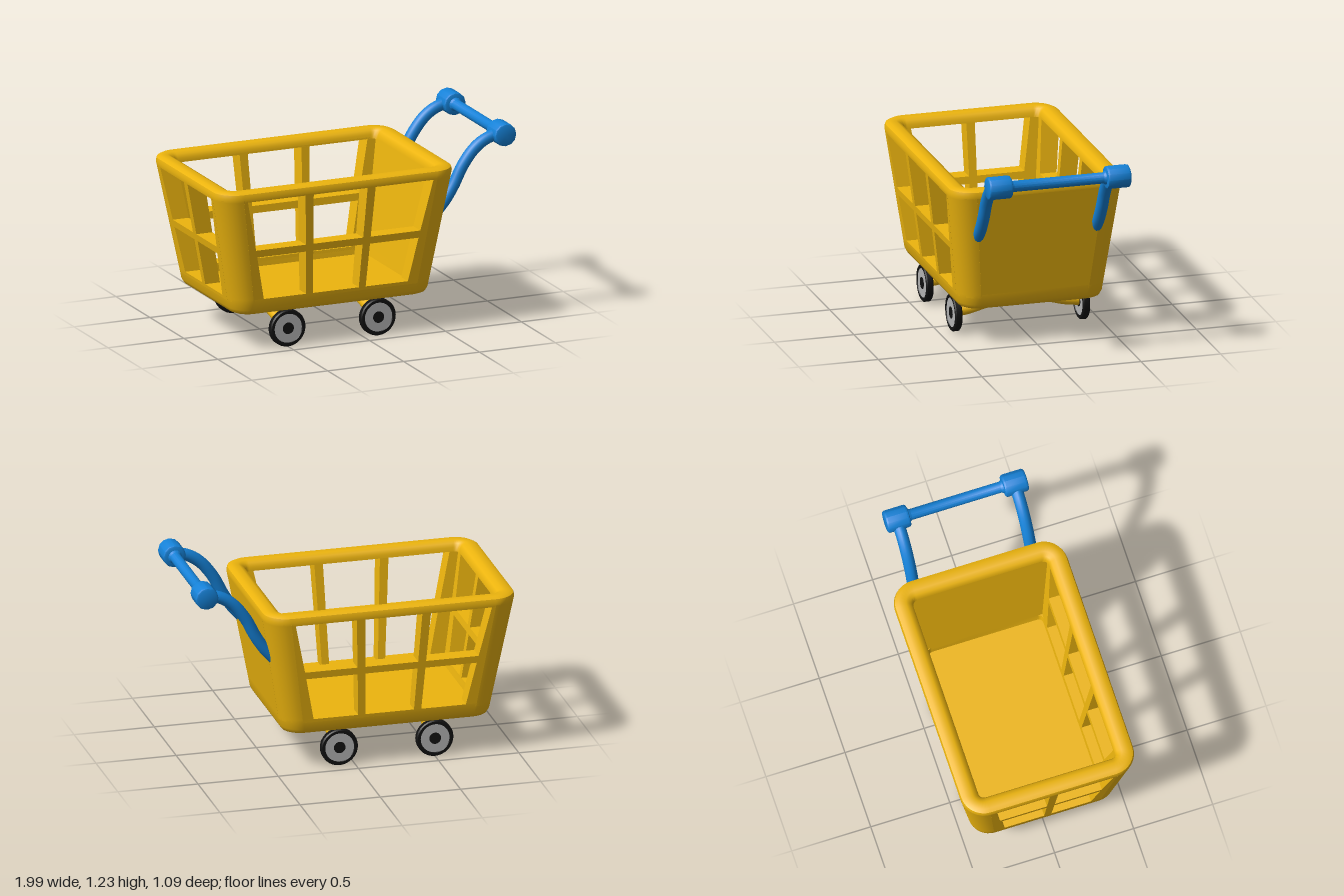
import * as THREE from 'three';
import { toCreasedNormals } from 'three/addons/utils/BufferGeometryUtils.js';

const Y0 = 0.23, Y1 = 1.03;           // basket bottom and top
const HX = 0.79, HZ = 0.55;           // half size at the rim
const R = 0.15, WALL = 0.115;         // corner radius, wall thickness

const material = (color) => new THREE.MeshStandardMaterial({ color });
const yellow = material(0xedb50e);
const blue = material(0x1582d8);
const black = material(0x111111);
const grey = material(0xb4b4b4);

function add(parent, name, geometry, mat) {
  const mesh = new THREE.Mesh(geometry, mat);
  mesh.name = name;
  parent.add(mesh);
  return mesh;
}

// Narrow a straight-sided basket part towards the bottom, then crease its edges
function taper(geometry) {
  const p = geometry.attributes.position;
  for (let i = 0; i < p.count; i++) {
    const t = (p.getY(i) - Y0) / (Y1 - Y0);
    const s = 0.817 + 0.183 * t;
    p.setX(i, p.getX(i) * s - 0.205 - 0.005 * t);
    p.setZ(i, p.getZ(i) * s);
  }
  return toCreasedNormals(geometry, 0.7);
}

// Sweep a profile of [inset, y] points around the rounded basket outline
function ringLoft(profile, closed) {
  const N = 8, pos = [], index = [], count = 4 * (N + 1);
  for (const [inset, y] of profile) {
    const hx = HX - inset, hz = HZ - inset;
    const r = Math.min(Math.max(R - inset, 0.03), hz);
    for (let c = 0; c < 4; c++) {
      const sx = c === 0 || c === 3 ? 1 : -1, sz = c < 2 ? 1 : -1;
      for (let k = 0; k <= N; k++) {
        const a = (c + k / N) * Math.PI / 2;
        pos.push(sx * (hx - r) + r * Math.cos(a), y, sz * (hz - r) + r * Math.sin(a));
      }
    }
  }
  const rows = profile.length;
  for (let j = 0; j < (closed ? rows : rows - 1); j++) {
    for (let i = 0; i < count; i++) {
      const n = (i + 1) % count, u = (j + 1) % rows;
      const a = j * count + i, b = j * count + n, c = u * count + i, d = u * count + n;
      index.push(a, c, b, b, c, d);
    }
  }
  const g = new THREE.BufferGeometry();
  g.setAttribute('position', new THREE.Float32BufferAttribute(pos, 3));
  g.setIndex(index);
  return g;
}

// Upright wall panel with two rows of windows (columns = 0 leaves it solid)
function wallPanel(half, columns, barStep) {
  const shape = new THREE.Shape();
  const w = half - R + 0.005;
  shape.moveTo(-w, 0.31).lineTo(w, 0.31).lineTo(w, 0.98).lineTo(-w, 0.98).closePath();
  const edge = (y) => half - 0.225 + 0.055 * (y - 0.33) / 0.64;
  const bar = 0.027;
  for (const [lo, hi] of columns ? [[0.33, 0.605], [0.65, 0.97]] : []) {
    for (let c = 0; c < columns; c++) {
      const left = (y) => (c === 0 ? -edge(y) : (c - columns / 2) * barStep + bar);
      const right = (y) => (c === columns - 1 ? edge(y) : (c + 1 - columns / 2) * barStep - bar);
      const hole = new THREE.Path();
      hole.moveTo(left(lo), lo).lineTo(left(hi), hi).lineTo(right(hi), hi).lineTo(right(lo), lo).closePath();
      shape.holes.push(hole);
    }
  }
  return new THREE.ExtrudeGeometry(shape, { depth: WALL, bevelEnabled: false });
}

// Corner post with a round outside and a square inside
function cornerPost(sx, sz) {
  const pts = [];
  for (let k = 0; k <= 8; k++) {
    const a = k / 8 * Math.PI / 2;
    pts.push([HX - R + R * Math.cos(a), HZ - R + R * Math.sin(a)]);
  }
  pts.push([HX - R, HZ - WALL], [HX - WALL, HZ - WALL], [HX - WALL, HZ - R]);
  const shape = new THREE.Shape(pts.map(([x, z]) => new THREE.Vector2(sx * x, sz * z)));
  return new THREE.ExtrudeGeometry(shape, { depth: 0.67, bevelEnabled: false })
    .rotateX(-Math.PI / 2).translate(0, 0.31, 0);
}

// Turned part whose axis runs along z; profile of [radius, z]
function turned(profile, sides) {
  const g = new THREE.LatheGeometry(profile.map(([r, z]) => new THREE.Vector2(r, z)), sides);
  return toCreasedNormals(g.rotateX(Math.PI / 2), 0.6);
}

function tube(points, radius) {
  const curve = new THREE.CatmullRomCurve3(points.map((p) => new THREE.Vector3(...p)));
  return new THREE.TubeGeometry(curve, 28, radius, 14);
}

function createBasket() {
  const basket = new THREE.Group();
  basket.name = 'basket';
  add(basket, 'rim', taper(ringLoft([
    [0, 0.97], [0, 0.995], [0.01, 1.018], [0.035, 1.03], [0.08, 1.03],
    [0.105, 1.018], [WALL, 0.995], [WALL, 0.97]], true)), yellow);
  add(basket, 'floorTray', taper(ringLoft([
    [HZ, Y0], [0.04, Y0], [0.012, 0.24], [0, 0.265], [0, 0.33],
    [WALL, 0.33], [WALL, 0.28], [HZ, 0.28]], false)), yellow);
  for (const sx of [-1, 1]) for (const sz of [-1, 1]) {
    add(basket, 'cornerPost', taper(cornerPost(sx, sz)), yellow);
  }
  const walls = [
    ['frontWall', HX, HZ, 3, 0.414, 0], ['backWall', HX, HZ, 3, 0.414, Math.PI],
    ['rightWall', HZ, HX, 2, 0.3, -Math.PI / 2], ['leftWall', HZ, HX, 0, 0, Math.PI / 2]];
  for (const [name, half, offset, columns, step, turn] of walls) {
    const g = wallPanel(half, columns, step).translate(0, 0, offset - WALL).rotateY(turn);
    add(basket, name, taper(g), yellow);
  }
  return basket;
}

function createHandle() {
  const handle = new THREE.Group();
  handle.name = 'handle';
  for (const s of [-1, 1]) {
    add(handle, 'handleArm', tube([
      [0.49, 0.71, s * 0.372], [0.555, 0.785, s * 0.372], [0.61, 0.87, s * 0.372],
      [0.67, 0.985, s * 0.372], [0.75, 1.085, s * 0.372], [0.83, 1.137, s * 0.372],
      [0.925, 1.16, s * 0.372]], 0.037), blue);
    add(handle, 'handleKnob', turned([
      [0, -0.074], [0.058, -0.074], [0.067, -0.07], [0.071, -0.06],
      [0.071, 0.06], [0.067, 0.07], [0.058, 0.074], [0, 0.074]], 12), blue)
      .position.set(0.925, 1.16, s * 0.372);
  }
  add(handle, 'gripBar', turned([
    [0.043, -0.31], [0.042, -0.295], [0.034, -0.283],
    [0.034, 0.283], [0.042, 0.295], [0.043, 0.31]], 16), blue).position.set(0.925, 1.16, 0);
  return handle;
}

function createWheelPair(x) {
  const pair = new THREE.Group();
  pair.name = 'wheelPair';
  add(pair, 'axle', tube([
    [0, 0.12, -0.395], [0, 0.13, -0.31], [0, 0.165, -0.17], [0, 0.195, 0],
    [0, 0.165, 0.17], [0, 0.13, 0.31], [0, 0.12, 0.395]], 0.033), yellow);
  for (const s of [-1, 1]) {
    const wheel = new THREE.Group();
    wheel.name = 'wheel';
    add(wheel, 'tyre', turned([
      [0.088, -0.016], [0.093, -0.022], [0.108, -0.022], [0.115, -0.015], [0.115, 0.015],
      [0.108, 0.022], [0.093, 0.022], [0.088, 0.016], [0.088, -0.016]], 32), black);
    add(wheel, 'wheelDisc', turned([[0, -0.018], [0.092, -0.018], [0.092, 0.018], [0, 0.018]], 32), grey);
    add(wheel, 'hubCap', turned([[0, -0.021], [0.036, -0.021], [0.036, 0.021], [0, 0.021]], 20), black);
    wheel.position.set(0, 0.115, s * 0.401);
    pair.add(wheel);
  }
  pair.position.x = x;
  return pair;
}

export function createModel() {
  const cart = new THREE.Group();
  cart.name = 'shoppingCart';
  cart.add(createBasket(), createHandle(), createWheelPair(-0.5), createWheelPair(0.095));
  return cart;
}
